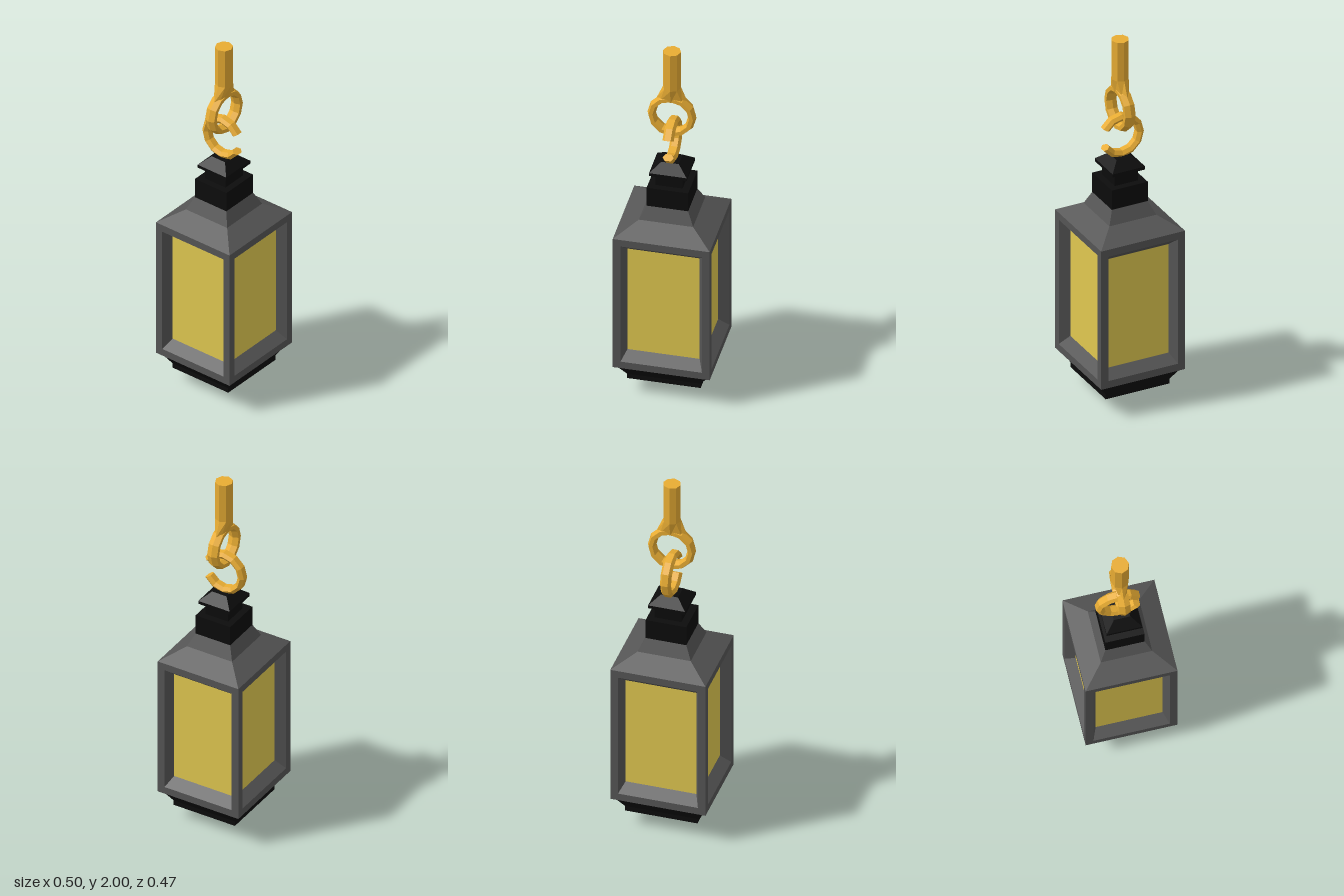
import * as THREE from 'three';

const mat = (color) => new THREE.MeshStandardMaterial({ color, flatShading: true, side: THREE.DoubleSide });
const iron = mat(0x555555), black = mat(0x0c0c0c), glass = mat(0xe0c850), gold = mat(0xe8ac33);
const DEPTH = 0.948; // depth of the lantern relative to its width

function add(parent, name, geometry, material) {
  const mesh = new THREE.Mesh(geometry, material);
  mesh.name = name;
  parent.add(mesh);
  return mesh;
}

// Joins rectangles [halfX, halfZ, y] into a faceted skin, bottom to top, with optional caps
function loft(sections, capStart = true, capEnd = true) {
  const pos = [];
  const quad = (a, b, c, d) => pos.push(...a, ...b, ...c, ...a, ...c, ...d);
  const rings = sections.map(([x, z, y]) => [[-x, y, z], [x, y, z], [x, y, -z], [-x, y, -z]]);
  for (let i = 0; i < rings.length - 1; i++) {
    const a = rings[i], b = rings[i + 1];
    for (let k = 0; k < 4; k++) {
      const n = (k + 1) % 4;
      quad(a[k], a[n], b[n], b[k]);
    }
  }
  const first = rings[0], last = rings[rings.length - 1];
  if (capStart) quad(first[3], first[2], first[1], first[0]);
  if (capEnd) quad(...last);
  const g = new THREE.BufferGeometry();
  g.setAttribute('position', new THREE.Float32BufferAttribute(pos, 3));
  g.computeVertexNormals();
  return g;
}

// Rectangular tower part from [halfWidth, y] pairs
const tower = (profile, ...caps) => loft(profile.map(([w, y]) => [w, w * DEPTH, y]), ...caps);

// Ring around the y axis with a six-sided section; a partial ring gets end caps
function ring(parent, name, section, segments, start, sweep) {
  const group = new THREE.Group();
  group.name = name;
  const pts = section.map(([r, y]) => new THREE.Vector2(r, y));
  add(group, name + 'Band', new THREE.LatheGeometry([...pts, pts[0]], segments, start, sweep), gold);
  if (sweep < Math.PI * 2) {
    for (const phi of [start, start + sweep]) {
      const end = add(group, name + 'End', new THREE.ShapeGeometry(new THREE.Shape(pts)), gold);
      end.rotation.y = phi - Math.PI / 2;
    }
  }
  parent.add(group);
  return group;
}

export function createModel() {
  const root = new THREE.Group();
  root.name = 'hangingLantern';

  // Stepped base
  add(root, 'base', tower([
    [0.063, 0], [0.063, 0.043], [0.123, 0.043], [0.123, 0.078],
    [0.19, 0.078], [0.19, 0.105], [0.235, 0.175],
  ]), black);

  // Body floor and sloped roof
  add(root, 'floor', tower([[0.25, 0.175], [0.2, 0.176]]), iron);
  add(root, 'roof', tower([[0.25, 0.965], [0.14, 1.03], [0.107, 1.1]]), iron);

  // Four framed windows with bevelled recesses
  for (let i = 0; i < 4; i++) {
    const side = i % 2;
    const half = side ? 0.25 * DEPTH : 0.25;
    const out = side ? 0.25 : 0.25 * DEPTH;
    const wall = new THREE.Group();
    wall.name = 'window' + (i + 1);
    const frame = add(wall, 'windowFrame', loft([
      [half, 0.395, 0], [half - 0.04, 0.355, 0], [half - 0.064, 0.31, -0.053],
    ], false, false), iron);
    frame.rotation.x = Math.PI / 2;
    const pane = add(wall, 'pane', new THREE.PlaneGeometry(2 * (half - 0.064), 0.62), glass);
    pane.position.z = -0.053;
    wall.rotation.y = i * Math.PI / 2;
    wall.position.set(Math.sin(i * Math.PI / 2) * out, 0.57, Math.cos(i * Math.PI / 2) * out);
    root.add(wall);
  }

  // Collar, neck and cap
  add(root, 'chimney', tower([
    [0.107, 1.1], [0.107, 1.21], [0.07, 1.21], [0.07, 1.278],
    [0.097, 1.278], [0.097, 1.295], [0.045, 1.34],
  ]), black);

  // Open hook ring on the cap, gap towards the front
  const hook = ring(root, 'hookRing', [
    [0.122, -0.016], [0.122, 0.016], [0.104, 0.029], [0.085, 0.016], [0.085, -0.016], [0.104, -0.029],
  ], 10, Math.PI / 6, Math.PI * 5 / 3);
  hook.rotation.z = Math.PI / 2;
  hook.position.set(0, 1.453, -0.005);

  // Closed eye ring at the end of the shaft
  const eye = ring(root, 'eyeRing', [
    [0.126, 0], [0.115, 0.029], [0.094, 0.029], [0.083, 0], [0.094, -0.029], [0.115, -0.029],
  ], 12, 0, Math.PI * 2);
  eye.rotation.x = Math.PI / 2;
  eye.position.y = 1.61;

  // Octagonal shaft flaring flat into the eye ring
  const shaft = new THREE.CylinderGeometry(0.046, 0.046, 0.3, 8, 2);
  const p = shaft.attributes.position;
  for (let i = 0; i < p.count; i++) {
    const y = p.getY(i);
    if (y < -0.1) p.setXYZ(i, p.getX(i) * 1.75, 1.7, p.getZ(i) * 0.62);
    else p.setY(i, y > 0.1 ? 2 : 1.78);
  }
  shaft.computeVertexNormals();
  add(root, 'shaft', shaft, gold);

  return root;
}
